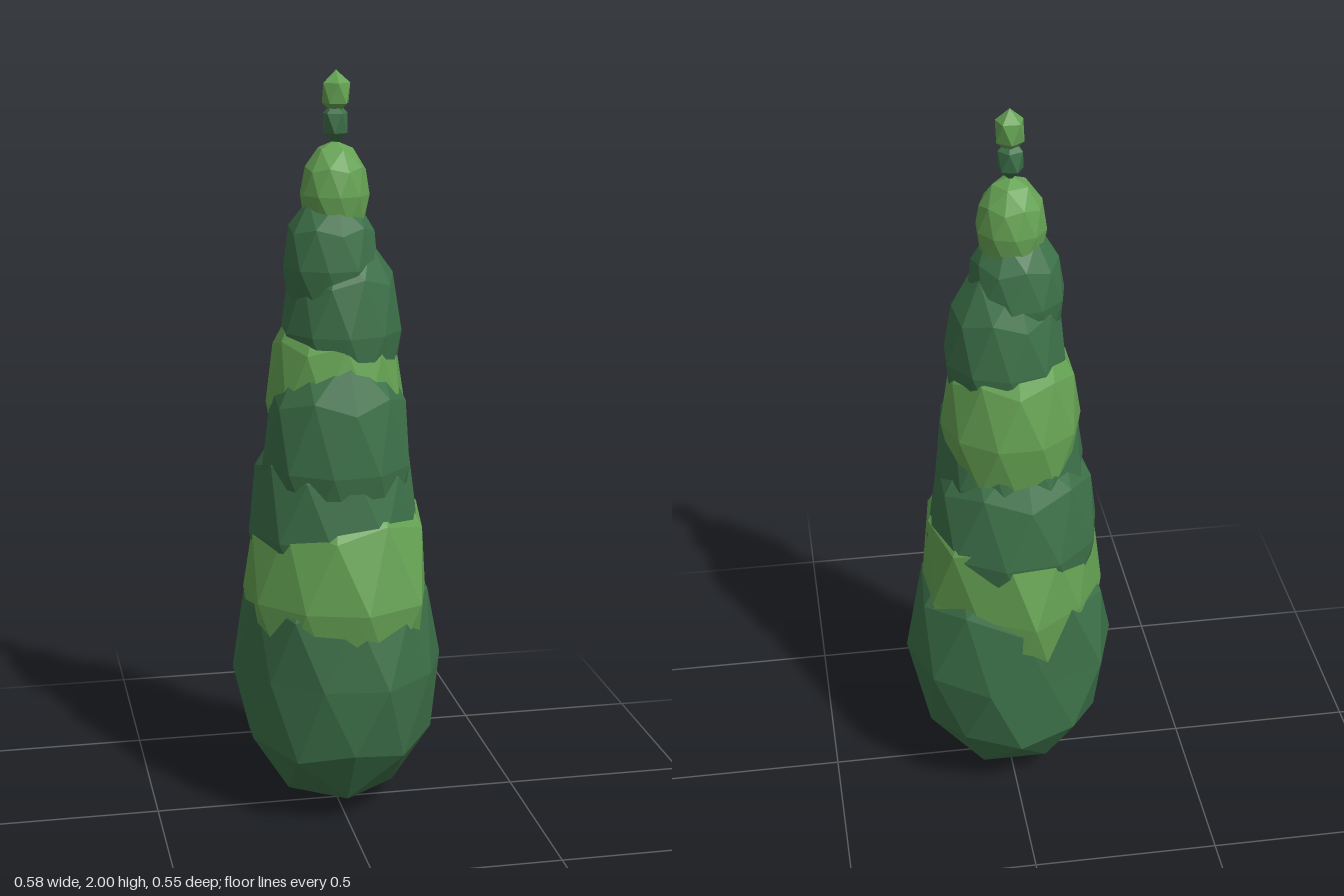
import * as THREE from 'three';

const darkGreen = new THREE.MeshStandardMaterial({ color: 0x3d7149, flatShading: true });
darkGreen.name = 'dark green';
const lightGreen = new THREE.MeshStandardMaterial({ color: 0x66a354, flatShading: true });
lightGreen.name = 'light green';

const even = Array(10).fill(1);

// Faceted ball with one five-sided vertex at each pole, stretched upwards.
// girth scales the ten vertices around its middle, from +x towards +z.
function foliage({ radius, halfHeight, yaw, detail = 1, girth = even }) {
  const geometry = new THREE.IcosahedronGeometry(1, detail);
  geometry.rotateX(-Math.atan((1 + Math.sqrt(5)) / 2));
  geometry.rotateY(yaw);
  const p = geometry.attributes.position;
  for (let i = 0; i < p.count; i++) {
    if (Math.abs(p.getY(i)) > 0.01) continue;
    const step = Math.round((Math.atan2(p.getZ(i), p.getX(i)) + yaw) / (Math.PI / 5));
    const s = girth[(step + 20) % 10];
    p.setXYZ(i, p.getX(i) * s, p.getY(i), p.getZ(i) * s);
  }
  geometry.scale(radius, halfHeight, radius);
  geometry.computeVertexNormals();
  return geometry;
}

// Clumps from bottom to top
const clumps = [
  { name: 'baseFoliage', material: darkGreen, at: [0, 0.41, 0], radius: 0.288, halfHeight: 0.41, yaw: Math.PI,
    girth: [1, 1, 0.84, 1, 1, 1, 0.96, 1, 0.92, 0.9] },
  { name: 'lowerLightFoliage', material: lightGreen, at: [0, 0.62, 0], radius: 0.265, halfHeight: 0.42, yaw: -0.19,
    girth: [0.9, 1.04, 1.04, 0.98, 0.98, 0.96, 0.93, 1.04, 0.87, 0.93] },
  { name: 'lowerDarkFoliage', material: darkGreen, at: [-0.008, 0.795, -0.005], radius: 0.236, halfHeight: 0.365, yaw: -0.52 },
  { name: 'middleDarkFoliage', material: darkGreen, at: [-0.005, 0.985, 0.016], radius: 0.203, halfHeight: 0.36, yaw: 0.1, tilt: 0.04 },
  { name: 'middleLightFoliage', material: lightGreen, at: [-0.003, 1.14, -0.014], radius: 0.186, halfHeight: 0.32, yaw: Math.PI },
  { name: 'upperDarkFoliage', material: darkGreen, at: [0.012, 1.33, -0.005], radius: 0.16, halfHeight: 0.28, yaw: 0.9 },
  { name: 'crownDarkFoliage', material: darkGreen, at: [-0.018, 1.5, 0.003], radius: 0.128, halfHeight: 0.2, yaw: 0.1 },
  { name: 'crownLightFoliage', material: lightGreen, at: [-0.007, 1.685, 0.004], radius: 0.091, halfHeight: 0.137, yaw: 2.8 },
  { name: 'tipDarkBud', material: darkGreen, at: [-0.005, 1.866, 0.003], radius: 0.037, halfHeight: 0.056, yaw: 0.4, detail: 0 },
  { name: 'tipLightBud', material: lightGreen, at: [-0.003, 1.942, 0.002], radius: 0.041, halfHeight: 0.058, yaw: 0, detail: 0 },
];

export function createModel() {
  const tree = new THREE.Group();
  tree.name = 'tree';
  for (const clump of clumps) {
    const mesh = new THREE.Mesh(foliage(clump), clump.material);
    mesh.name = clump.name;
    mesh.position.set(...clump.at);
    mesh.rotation.x = clump.tilt ?? 0;
    tree.add(mesh);
  }
  return tree;
}
